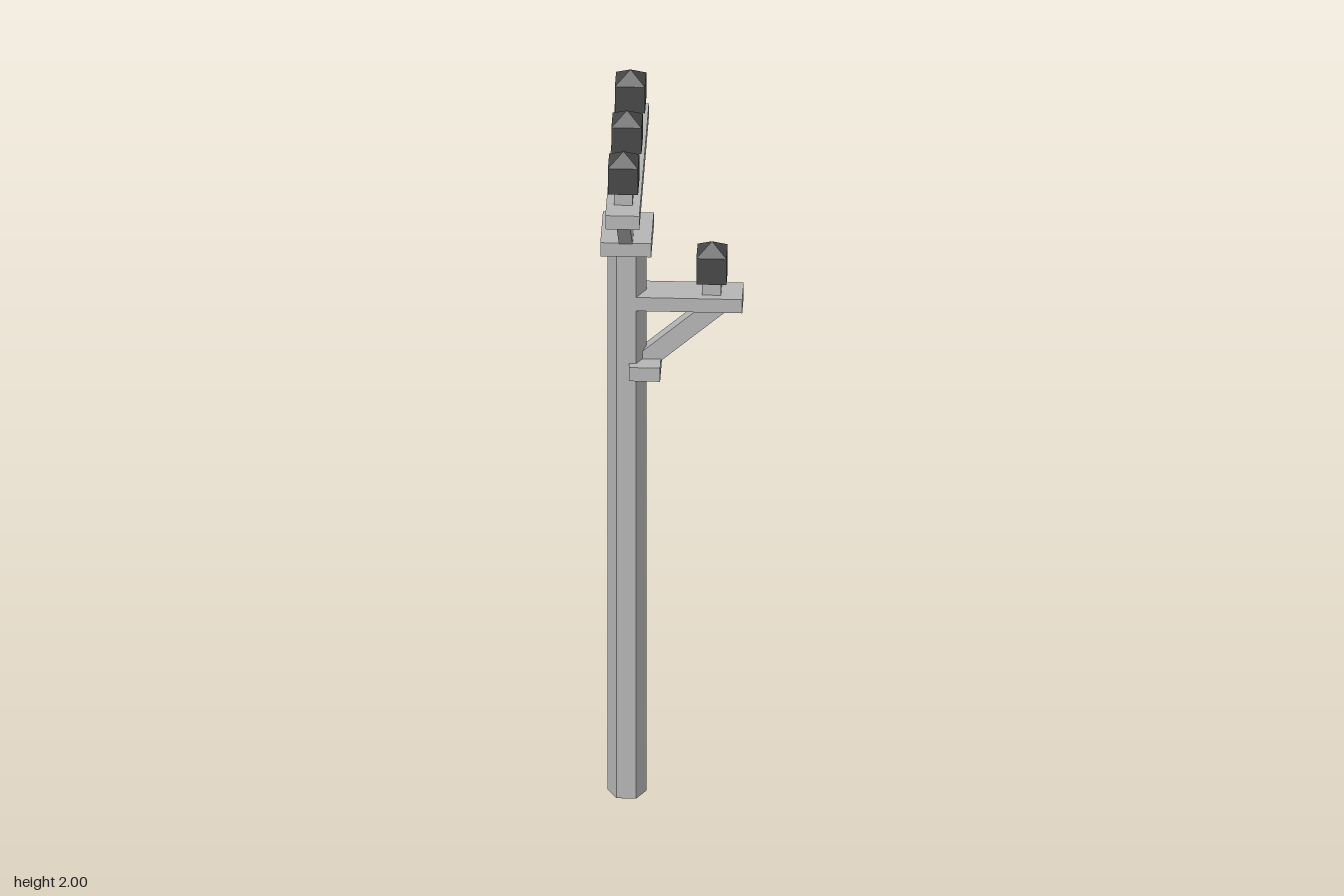
import * as THREE from 'three';

export function createModel() {
  const model = new THREE.Group();
  model.name = 'utilityPole';
  const concrete = new THREE.MeshStandardMaterial({ color: 0xb6b6b6, flatShading: true });
  concrete.name = 'light grey';
  const ceramic = new THREE.MeshStandardMaterial({ color: 0x484848, flatShading: true });
  ceramic.name = 'dark grey';

  const poleX = -0.117;

  function add(parent, name, geometry, material, x, y, z) {
    const mesh = new THREE.Mesh(geometry, material);
    mesh.name = name;
    mesh.position.set(x, y, z);
    parent.add(mesh);
    return mesh;
  }

  // Box given by its size and the height of its underside
  function block(parent, name, w, h, d, x, bottom, z, material = concrete) {
    return add(parent, name, new THREE.BoxGeometry(w, h, d), material, x, bottom + h / 2, z);
  }

  // Neck, square body and pyramid top standing on an arm
  function insulator(x, y, z) {
    const group = new THREE.Group();
    group.name = 'insulator';
    group.position.set(x, y, z);
    block(group, 'insulatorNeck', 0.048, 0.042, 0.048, 0, 0, 0);
    block(group, 'insulatorBody', 0.077, 0.076, 0.077, 0, 0.039, 0, ceramic);
    const roof = new THREE.ConeGeometry(0.077 / Math.SQRT2, 0.03, 4, 1, true).rotateY(Math.PI / 4);
    add(group, 'insulatorTop', roof, ceramic, 0, 0.13, 0);
    model.add(group);
  }

  // Slanted strut: a sheared bar leaning outward along its local x
  function brace(name, low, high, width, y0, y1, x, turn) {
    const shape = new THREE.Shape([
      new THREE.Vector2(low, y0),
      new THREE.Vector2(low + width, y0),
      new THREE.Vector2(high + width, y1),
      new THREE.Vector2(high, y1),
    ]);
    const geometry = new THREE.ExtrudeGeometry(shape, { depth: 0.035, bevelEnabled: false });
    geometry.translate(0, 0, -0.0175);
    add(model, name, geometry, concrete, x, 0, 0).rotation.y = turn;
  }

  // Six-sided pole with a cap
  const pole = new THREE.CylinderGeometry(0.05, 0.05, 1.62, 6).rotateY(Math.PI / 2);
  add(model, 'pole', pole, concrete, poleX, 0.81, 0);
  block(model, 'poleCap', 0.13, 0.04, 0.16, poleX, 1.615, 0);

  // Top crossarm with its two struts and three insulators
  block(model, 'crossarm', 0.087, 0.04, 0.578, poleX, 1.815, 0);
  for (const side of [-1, 1]) {
    brace('crossarmBrace', 0, 0.185, 0.077, 1.65, 1.818, poleX, side * Math.PI / 2);
  }
  for (const z of [-0.21, 0, 0.21]) insulator(poleX, 1.855, z);

  // Side arm with its bracket, strut and insulator
  block(model, 'sideArm', 0.285, 0.04, 0.087, 0.0365, 1.435, 0);
  block(model, 'sideBracket', 0.08, 0.04, 0.128, -0.07, 1.24, 0);
  brace('sideArmBrace', -0.107, 0.075, 0.077, 1.275, 1.438, 0, 0);
  insulator(0.1, 1.475, 0);

  return model;
}
